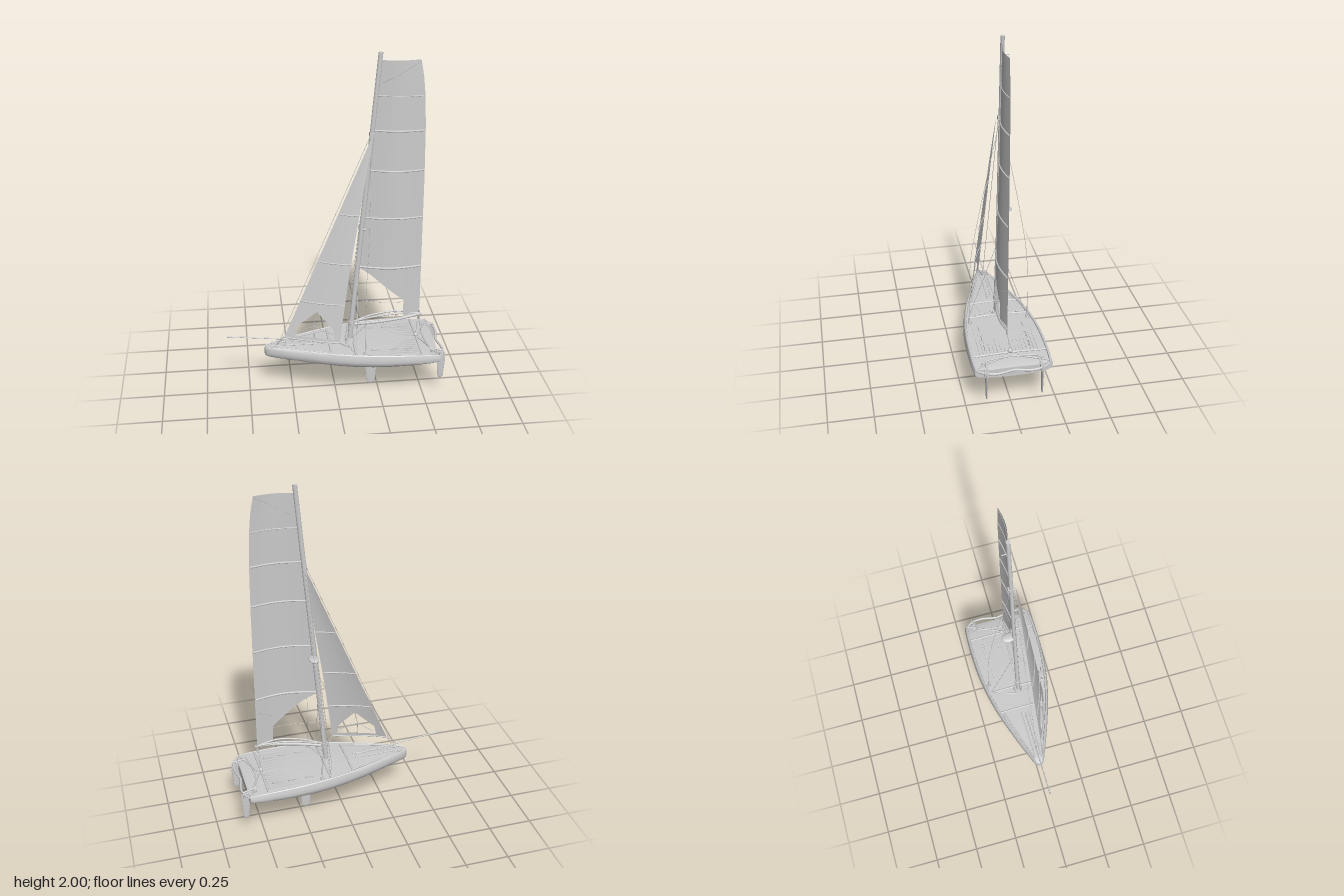
import * as THREE from 'three';
import { toCreasedNormals } from 'three/addons/utils/BufferGeometryUtils.js';

const grey = new THREE.MeshStandardMaterial({ color: 0xcccccc });
const thin = new THREE.MeshStandardMaterial({ color: 0xcccccc, side: THREE.DoubleSide });

// piecewise-linear lookup through [key, value] pairs
function pick(table, k) {
  let i = 0;
  while (i < table.length - 2 && k > table[i + 1][0]) i++;
  const [k0, v0] = table[i], [k1, v1] = table[i + 1];
  return v0 + (v1 - v0) * THREE.MathUtils.clamp((k - k0) / (k1 - k0), 0, 1);
}

export function createModel() {
  const model = new THREE.Group();
  const add = (name, geo, mat = grey, x = 0, y = 0, z = 0) => {
    const m = new THREE.Mesh(geo, mat);
    m.name = name;
    m.position.set(x, y, z);
    model.add(m);
    return m;
  };
  // round rod or line through points
  const rod = (name, pts, r, seg = pts.length > 2 ? 20 : 1) => {
    const v = pts.map(p => new THREE.Vector3(...p));
    const curve = v.length > 2 ? new THREE.CatmullRomCurve3(v) : new THREE.LineCurve3(v[0], v[1]);
    return add(name, new THREE.TubeGeometry(curve, seg, r, r < 0.003 ? 5 : 10));
  };

  // hull: stations [x, half width, bottom, top]
  const stations = [
    [-0.408, 0.008, 0.25, 0.285], [-0.402, 0.021, 0.239, 0.297], [-0.385, 0.032, 0.232, 0.303],
    [-0.34, 0.05, 0.227, 0.306], [-0.27, 0.078, 0.221, 0.308], [-0.2, 0.105, 0.217, 0.31],
    [-0.1, 0.14, 0.212, 0.311], [0, 0.171, 0.209, 0.311], [0.1, 0.194, 0.206, 0.311],
    [0.2, 0.21, 0.205, 0.311], [0.3, 0.219, 0.207, 0.309], [0.4, 0.222, 0.211, 0.306],
    [0.5, 0.221, 0.217, 0.301], [0.56, 0.217, 0.222, 0.297], [0.58, 0.211, 0.227, 0.291]];
  const pos = [], idx = [];
  let n = 0;
  for (const [x, w, b, t] of stations) {
    const h = t - b, rim = Math.min(0.02, w * 0.3), dip = Math.min(0.012, w * 0.15);
    const half = [[w * 0.35, b + h * 0.02], [w * 0.7, b + h * 0.1], [w * 0.9, b + h * 0.23], [w * 0.98, b + h * 0.4],
      [w, b + h * 0.58], [w * 0.985, b + h * 0.8], [w - rim * 0.35, t - h * 0.04], [w - rim * 0.6, t],
      [w - rim * 0.9, t - h * 0.03], [w - rim, t - dip], [w * 0.4, t - dip * 0.75]];
    const ring = [[0, b], ...half, [0, t - dip * 0.6], ...half.slice().reverse().map(([z, y]) => [-z, y])];
    n = ring.length;
    ring.forEach(([z, y]) => pos.push(x, y, z));
  }
  for (let i = 0; i < stations.length - 1; i++) for (let j = 0; j < n; j++) {
    const a = i * n + j, b = i * n + (j + 1) % n;
    idx.push(a, a + n, b, b, a + n, b + n);
  }
  // bow and transom caps
  [0, stations.length - 1].forEach((s, end) => {
    const [x, , b, t] = stations[s], c = pos.length / 3;
    pos.push(x, (b + t) / 2, 0);
    for (let j = 0; j < n; j++) {
      const p = s * n + j, q = s * n + (j + 1) % n;
      idx.push(c, end ? q : p, end ? p : q);
    }
  });
  const hull = new THREE.BufferGeometry();
  hull.setAttribute('position', new THREE.Float32BufferAttribute(pos, 3));
  hull.setIndex(idx);
  add('hull', toCreasedNormals(hull, 0.6));

  // deck ribs, crossbeams and rails
  for (let i = -8; i <= 8; i++) if (i) add('deckRib', new THREE.BoxGeometry(0.35, 0.004, 0.006), grey, 0.29, 0.298, i * 0.02);
  for (const [x, w] of [[-0.035, 0.14], [0.105, 0.17], [0.475, 0.2]])
    rod('crossbeam', [[x, 0.3, -w], [x, 0.306, 0], [x, 0.3, w]], 0.006);
  rod('bowsprit', [[-0.62, 0.375, 0], [-0.08, 0.312, 0]], 0.0035);
  for (const s of [-1, 1]) {
    rod('foredeckRail', [[-0.37, 0.304, s * 0.022], [-0.2, 0.304, s * 0.078], [-0.04, 0.303, s * 0.128]], 0.004);
    rod('furlingLine', [[-0.36, 0.306, s * 0.018], [-0.07, 0.306, s * 0.022]], 0.003);
    rod('mastBrace', [[0.105, 0.305, s * 0.165], [0.06, 0.305, s * 0.02]], 0.003);
    rod('sternBrace', [[0.49, 0.3, s * 0.01], [0.57, 0.297, s * 0.195]], 0.005);
    rod('sternFrame', [[0.57, 0.28, s * 0.205], [0.6, 0.28, s * 0.165], [0.612, 0.275, s * 0.1], [0.6, 0.275, s * 0.03], [0.594, 0.275, 0]], 0.007);
    rod('tillerArm', [[0.61, 0.29, s * 0.152], [0.53, 0.306, s * 0.14]], 0.005);
    add('winch', new THREE.CylinderGeometry(0.009, 0.012, 0.018, 14), grey, 0.155, 0.307, s * 0.165);
    add('sternBlock', new THREE.CylinderGeometry(0.013, 0.013, 0.016, 14), grey, 0.545, 0.3, s * 0.16);
    for (const x of [0.22, 0.32, 0.41]) add('footChock', new THREE.BoxGeometry(0.05, 0.01, 0.008), grey, x, 0.302, s * 0.125);
  }
  rod('tillerBar', [[0.53, 0.306, -0.14], [0.515, 0.308, 0], [0.53, 0.306, 0.14]], 0.004);

  // daggerboard and rudders: flattened lathes
  const foil = (name, prof, x, z, flat) => {
    const g = new THREE.LatheGeometry(prof.map(p => new THREE.Vector2(...p)), 24);
    g.scale(1, 1, flat);
    return add(name, g, grey, x, 0, z);
  };
  foil('daggerboard', [[0, 0], [0.018, 0.002], [0.025, 0.012], [0.029, 0.06], [0.036, 0.15], [0.042, 0.23]], 0.214, 0, 0.16);
  for (const s of [-1, 1]) {
    foil('rudder', [[0, 0.11], [0.01, 0.112], [0.016, 0.125], [0.021, 0.18], [0.025, 0.24], [0.022, 0.28], [0, 0.295]], 0.597, s * 0.152, 0.25);
    add('rudderHead', new THREE.BoxGeometry(0.04, 0.03, 0.02), grey, 0.592, 0.272, s * 0.152);
  }

  // mast, slightly raked aft
  const mastX = y => 0.087 + (y - 0.31) * 0.0888;
  const mast = new THREE.CylinderGeometry(0.0125, 0.0145, 1.7, 20, 1);
  const mp = mast.attributes.position;
  for (let i = 0; i < mp.count; i++) {
    const y = mp.getY(i) + 1.15;
    mp.setXYZ(i, mp.getX(i) + mastX(y), y, mp.getZ(i) * 0.85);
  }
  mast.computeVertexNormals();
  add('mast', mast);
  add('mastStep', new THREE.CylinderGeometry(0.022, 0.028, 0.02, 20), grey, 0.088, 0.31, 0);
  add('mastCollar', new THREE.CylinderGeometry(0.019, 0.019, 0.025, 20), grey, 0.097, 0.42, 0);
  add('hound', new THREE.BoxGeometry(0.025, 0.02, 0.035), grey, 0.197, 1.56, 0);
  rod('windVane', [[mastX(1.9), 1.9, 0], [mastX(1.9), 1.9, -0.035]], 0.003);
  const plate = add('sidePlate', new THREE.SphereGeometry(1, 20, 12), grey, 0.16, 1.01, -0.03);
  plate.scale.set(0.028, 0.01, 0.042);

  // sail panels: rows between two edges, with a belly given by depth(x, y)
  const sail = (name, ys, left, right, depth, cols = 16) => {
    const p = [], ix = [];
    ys.forEach((y, r) => {
      for (let c = 0; c <= cols; c++) {
        const x = left(y) + (right(y) - left(y)) * c / cols;
        p.push(x, y, depth(x, y));
        if (r && c) {
          const d = r * (cols + 1) + c, b = d - cols - 1;
          ix.push(b - 1, b, d, b - 1, d, d - 1);
        }
      }
    });
    const g = new THREE.BufferGeometry();
    g.setAttribute('position', new THREE.Float32BufferAttribute(p, 3));
    g.setIndex(ix);
    g.computeVertexNormals();
    add(name, g, thin);
  };
  const range = (a, b, k) => Array.from({ length: k + 1 }, (_, i) => a + (b - a) * i / k);
  const onSail = (name, depth, a, b, r) =>
    rod(name, range(0, 1, 8).map(t => {
      const x = a[0] + (b[0] - a[0]) * t, y = a[1] + (b[1] - a[1]) * t;
      return [x, y, depth(x, y)];
    }), r);

  // mainsail, with its cut-away lower front corner
  const luff = y => mastX(y) + 0.01;
  const leech = y => pick([[0.47, 0.487], [1.3, 0.487], [1.6, 0.483], [1.78, 0.474], [1.88, 0.463], [1.955, 0.447]], y);
  const mainLeft = y => y > 0.77 ? luff(y) : pick([[0.47, 0.39], [0.57, 0.388], [0.735, 0.2], [0.765, 0.15], [0.77, 0.138]], y);
  const mainZ = (x, y) => {
    const u = THREE.MathUtils.clamp((x - luff(y)) / (leech(y) - luff(y)), 0, 1);
    return (0.036 * Math.sin(Math.PI * u) + 0.018 * u) * (1 - 0.55 * (y - 0.47) / 1.5);
  };
  sail('mainsail', [...range(0.47, 0.57, 3), ...range(0.6, 0.735, 4), 0.765, 0.7701, ...range(0.82, 1.958, 24)], mainLeft, leech, mainZ);
  for (const [y, r] of [[0.78, 0.006], [1.08, 0.005], [1.355, 0.005], [1.58, 0.005], [1.77, 0.003]])
    onSail('mainBatten', mainZ, [luff(y), y], [leech(y) - 0.005, y - 0.004], r);
  onSail('headBatten', mainZ, [luff(1.83), 1.83], [0.445, 1.95], 0.002);
  onSail('clewSeam', mainZ, [0.39, 0.645], [0.485, 0.695], 0.0015);
  onSail('windowSeam', mainZ, [0.15, 0.57], [0.385, 0.56], 0.0015);

  // jib, with an open window near the foot
  const jibL = y => pick([[0.37, -0.295], [1.56, 0.198]], y);
  const jibR = y => pick([[0.37, 0.012], [0.8, 0.072], [1.56, 0.2]], y);
  const jibZ = (x, y) => {
    const u = THREE.MathUtils.clamp((x - jibL(y)) / (jibR(y) - jibL(y)), 0, 1);
    return 0.036 - 0.012 * (y - 0.37) / 1.19 + 0.1 * Math.pow(1 - (y - 0.37) / 1.19, 0.9) * (1.5 * u - 0.5 * u * u);
  };
  const holeL = y => pick([[0.392, -0.235], [0.45, -0.222], [0.55, -0.11]], y);
  const holeR = y => pick([[0.392, -0.015], [0.45, -0.022], [0.55, -0.11]], y);
  const win = [0.392, 0.42, 0.45, 0.475, 0.5, 0.525, 0.55];
  sail('jibFoot', [0.37, 0.392], jibL, jibR, jibZ);
  sail('jibFront', win, jibL, holeL, jibZ, 6);
  sail('jibBack', win, holeR, jibR, jibZ, 6);
  sail('jib', range(0.55, 1.56, 20), jibL, jibR, jibZ, 12);
  for (const y of [0.6, 0.84, 1.12]) onSail('jibBatten', jibZ, [jibL(y) + 0.004, y], [jibR(y) - 0.004, y], 0.004);
  for (const e of [[-0.222, 0.41], [-0.11, 0.55], [-0.02, 0.42], [-0.13, 0.392]])
    onSail('jibWindowSeam', jibZ, [-0.13, 0.465], e, 0.002);
  onSail('jibFootRope', jibZ, [-0.295, 0.372], [0.01, 0.372], 0.004);

  // boom: straight spar with an arched one above it
  rod('boom', [[0.085, 0.408, 0], [0.25, 0.432, 0.028], [0.4, 0.454, 0.034], [0.5, 0.467, 0.02]], 0.008);
  rod('boomArch', [[0.1, 0.425, 0], [0.22, 0.462, 0.022], [0.36, 0.482, 0.034], [0.49, 0.47, 0.02]], 0.005);
  rod('boomArchInner', [[0.1, 0.425, 0], [0.22, 0.462, -0.005], [0.36, 0.482, 0.004], [0.49, 0.47, 0.02]], 0.005);
  rod('outhaul', [[0.488, 0.43, 0.02], [0.486, 0.49, 0.02]], 0.005);
  rod('vang', [[0.1, 0.32, 0], [0.2, 0.428, 0.018]], 0.003);
  rod('mainsheet', [[0.48, 0.462, 0.02], [0.475, 0.31, 0]], 0.0014);
  add('sheetBlock', new THREE.SphereGeometry(0.013, 12, 8), grey, 0.475, 0.315, 0);

  // standing and running rigging
  const head = [0.192, 1.56, 0];
  rod('forestay', [[-0.33, 0.305, 0.004], [0.19, 1.56, 0.01]], 0.0014);
  rod('jibTack', [[-0.34, 0.305, 0.005], [-0.295, 0.372, 0.036]], 0.003);
  rod('jibSheet', [[0.012, 0.372, 0.136], [0.07, 0.31, 0.09]], 0.002);
  rod('halyard', [[0.058, 0.31, 0.01], head], 0.002);
  for (const s of [-1, 1]) {
    rod('shroud', [[0.155, 0.305, s * 0.168], [0.157, 0.7, s * 0.158], [0.175, 1.0, s * 0.112], head], 0.0013);
    rod('lowerShroud', [[0.105, 0.305, s * 0.165], [mastX(0.8), 0.8, 0]], 0.0016);
    rod('shroudAdjuster', [[0.155, 0.305, s * 0.168], [0.156, 0.38, s * 0.166]], 0.004);
  }
  return model;
}
